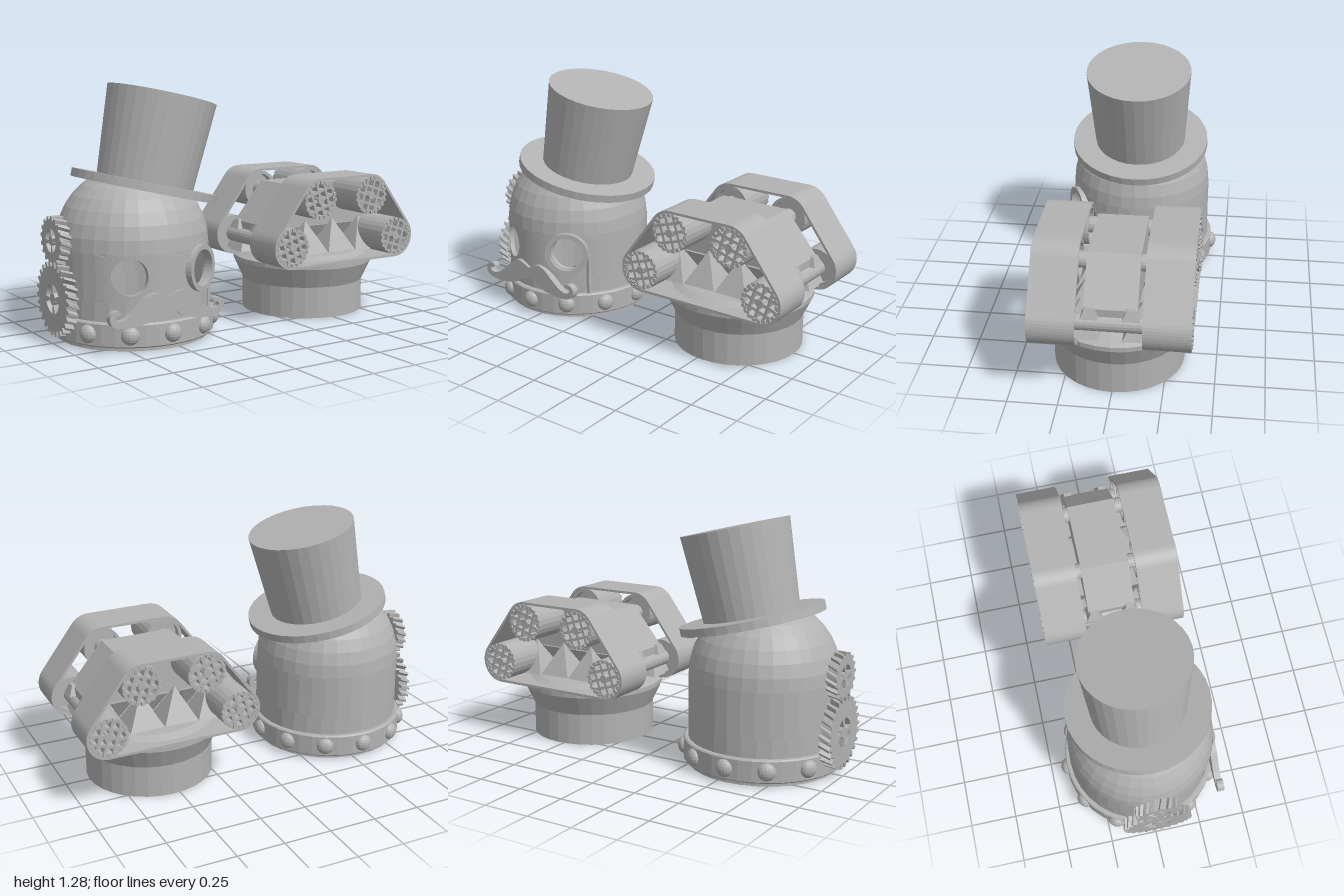
import * as THREE from 'three';

const grey = new THREE.MeshStandardMaterial({ color: 0xb2b2b2, flatShading: true, side: THREE.DoubleSide });
grey.name = 'cast grey';

function add(parent, name, geo, x = 0, y = 0, z = 0) {
  const m = new THREE.Mesh(geo, grey);
  m.name = name;
  m.position.set(x, y, z);
  parent.add(m);
  return m;
}
function group(parent, name, x = 0, y = 0, z = 0) {
  const g = new THREE.Group();
  g.name = name;
  g.position.set(x, y, z);
  parent.add(g);
  return g;
}
const pts = a => a.map(p => new THREE.Vector2(p[0], p[1]));
const extrude = (shape, depth, seg = 10, steps = 1) =>
  new THREE.ExtrudeGeometry(shape, { depth, steps, bevelEnabled: false, curveSegments: seg });
const box = (w, h, d) => new THREE.BoxGeometry(w, h, d);
const rod = (r, len, seg = 16) => new THREE.CylinderGeometry(r, r, len, seg).rotateX(Math.PI / 2);

function ringGeo(outer, inner, depth, seg = 16) {
  const s = new THREE.Shape().absarc(0, 0, outer, 0, Math.PI * 2);
  s.holes.push(new THREE.Path().absarc(0, 0, inner, 0, Math.PI * 2, true));
  return extrude(s, depth, seg);
}

// Rectangle boundary point for t in 0..1
function perimeter(t, x0, x1, y0, y1) {
  const k = (t * 4) % 4, side = Math.floor(k), f = k - side;
  if (side === 0) return [x0 + (x1 - x0) * f, y0];
  if (side === 1) return [x1, y0 + (y1 - y0) * f];
  if (side === 2) return [x1 - (x1 - x0) * f, y1];
  return [x0, y1 - (y1 - y0) * f];
}

const R = 0.39, RI = 0.365, EDGE = 0.32, Y0 = 0.24, Y1 = 0.47;

// Curved wall panel with a round eye hole, or the rim of that hole
function eyePanel(x0, x1, cx, cy, rx, ry, radius, rim) {
  const g = new THREE.PlaneGeometry(1, 1, 40, rim ? 1 : 5);
  const p = g.attributes.position, uv = g.attributes.uv;
  for (let i = 0; i < p.count; i++) {
    const v = uv.getY(i), [bx, by] = perimeter(uv.getX(i), x0, x1, Y0, Y1);
    const a = Math.atan2(by - cy, bx - cx);
    const hx = cx + rx * Math.cos(a), hy = cy + ry * Math.sin(a);
    const x = rim ? hx : hx + (bx - hx) * v, y = rim ? hy : hy + (by - hy) * v;
    const r = rim ? RI + (R - RI) * v : radius;
    p.setXYZ(i, x, y, Math.sqrt(r * r - x * x));
  }
  g.computeVertexNormals();
  return g;
}

function gearGeo(radius, teeth, hole) {
  const outline = [];
  for (let i = 0; i < teeth; i++)
    [[0, 0.86], [0.3, 0.86], [0.45, 1], [0.75, 1], [0.9, 0.86]].forEach(([f, k]) => {
      const a = (i + f) / teeth * Math.PI * 2;
      outline.push([Math.cos(a) * radius * k, Math.sin(a) * radius * k]);
    });
  const s = new THREE.Shape(pts(outline));
  for (let i = 0; i < 4; i++) {
    const a = i * Math.PI / 2 + 0.2, b = a + Math.PI / 2 - 0.4;
    s.holes.push(new THREE.Path().absarc(0, 0, hole, a, b, false).absarc(0, 0, hole * 0.4, b, a, true));
  }
  const g = extrude(s, 0.055, 5, 3), p = g.attributes.position;
  // Slanted teeth
  for (let i = 0; i < p.count; i++) {
    const a = p.getZ(i) * 0.45 / radius, x = p.getX(i), y = p.getY(i);
    p.setXY(i, x * Math.cos(a) - y * Math.sin(a), x * Math.sin(a) + y * Math.cos(a));
  }
  return g.rotateY(-Math.PI / 2);
}

function buildHead(root) {
  const head = group(root, 'head', -0.55);
  // Hollow shell: lower ring, wall around the eye panels, dome
  for (const r of [R, RI]) {
    const a = Math.asin(EDGE / r), dome = [];
    for (let i = 0; i <= 9; i++) dome.push([r * Math.cos(i / 9 * Math.PI / 2), Y1 + r * Math.sin(i / 9 * Math.PI / 2)]);
    add(head, 'lowerWall', new THREE.LatheGeometry(pts([[r, 0], [r, Y0]]), 32));
    add(head, 'sideWall', new THREE.LatheGeometry(pts([[r, Y0], [r, Y1]]), 24, a, Math.PI * 2 - 2 * a));
    add(head, 'dome', new THREE.LatheGeometry(pts(dome), 32));
  }
  add(head, 'shellRim', new THREE.RingGeometry(RI, R, 32).rotateX(Math.PI / 2));
  for (const e of [[-EDGE, 0, -0.19, 0.36, 0.078, 0.09], [0, EDGE, 0.2, 0.37, 0.082, 0.09]]) {
    add(head, 'eyePanelOuter', eyePanel(...e, R, false));
    add(head, 'eyePanelInner', eyePanel(...e, RI, false));
    add(head, 'eyeHoleRim', eyePanel(...e, R, true));
  }

  // Riveted band
  add(head, 'band', new THREE.LatheGeometry(pts([[0.385, 0.02], [0.408, 0.02], [0.415, 0.027],
    [0.415, 0.133], [0.408, 0.14], [0.385, 0.14]]), 36));
  for (let i = 0; i < 12; i++) {
    const a = i * Math.PI / 6;
    const rivet = add(head, 'rivet', new THREE.SphereGeometry(0.046, 16, 10), 0.41 * Math.sin(a), 0.082, 0.41 * Math.cos(a));
    rivet.scale.z = 0.75;
    rivet.rotation.y = a;
  }

  // Monocle with its cord
  const monocle = group(head, 'monocle', 0.2, 0.368, 0.335);
  monocle.rotation.y = 0.5;
  add(monocle, 'monocleRing', ringGeo(0.118, 0.092, 0.045), 0, 0, -0.025);
  add(head, 'monocleCord', box(0.018, 0.23, 0.02), 0.292, 0.25, 0.265);

  // Moustache with curled ends
  const half = [[0.06, 0.285], [0.11, 0.272], [0.16, 0.23], [0.21, 0.19], [0.25, 0.172], [0.28, 0.175],
    [0.288, 0.192], [0.275, 0.202], [0.255, 0.2], [0.268, 0.222], [0.3, 0.218], [0.318, 0.19],
    [0.305, 0.155], [0.265, 0.138], [0.21, 0.134], [0.15, 0.14], [0.09, 0.155], [0.04, 0.185]];
  const s = new THREE.Shape().moveTo(0, 0.258);
  s.splineThru(pts([...half, [0, 0.2]]));
  s.splineThru(pts([...half.map(([x, y]) => [-x, y]).reverse(), [0, 0.258]]));
  add(head, 'moustache', extrude(s, 0.037, 4), -0.02, 0, 0.368);

  // Side gears
  add(head, 'largeGear', gearGeo(0.188, 26, 0.075), -0.393, 0.225, 0.005);
  add(head, 'smallGear', gearGeo(0.122, 17, 0.06), -0.393, 0.515, 0.0);
  add(head, 'largeGearAxle', rod(0.03, 0.1).rotateY(Math.PI / 2), -0.385, 0.225, 0.005);
  add(head, 'smallGearAxle', rod(0.024, 0.1).rotateY(Math.PI / 2), -0.38, 0.515, 0);

  // Tilted top hat
  const hat = group(head, 'topHat', 0.075, 0.75, 0);
  hat.rotation.z = -0.232;
  add(hat, 'brim', new THREE.CylinderGeometry(0.378, 0.378, 0.042, 36));
  add(hat, 'crown', new THREE.CylinderGeometry(0.284, 0.25, 0.46, 32), 0, 0.243, 0);
}

function buildTrackedUnit(root) {
  const unit = group(root, 'trackedUnit', 0.535);
  // Hollow flared base with a centre post
  add(unit, 'base', new THREE.LatheGeometry(pts([[0, 0.2], [0.295, 0.2], [0.295, 0], [0.335, 0], [0.335, 0.168],
    [0.385, 0.275], [0.385, 0.3], [0.31, 0.335], [0, 0.345]]), 32));
  add(unit, 'basePost', new THREE.CylinderGeometry(0.15, 0.15, 0.2, 28), 0, 0.11, 0);

  // Upper jaw
  const jaw = new THREE.Shape(pts([[-0.365, 0.46], [0.365, 0.46], [0.365, 0.5], [0.19, 0.71], [-0.19, 0.71], [-0.365, 0.5]]));
  add(unit, 'upperJaw', extrude(jaw, 0.26), 0, 0, -0.13);
  const tooth = (r, h) => new THREE.ConeGeometry(r * Math.SQRT2, h, 4).rotateY(Math.PI / 4);
  for (const z of [-1, 1]) {
    for (let i = 0; i < 4; i++) add(unit, 'lowerTooth', tooth(0.095, 0.18), -0.281 + i * 0.187, 0.42, z * 0.15);
    for (let i = 0; i < 3; i++) add(unit, 'upperTooth', tooth(0.06, 0.11).rotateX(Math.PI), -0.187 + i * 0.187, 0.42, z * 0.085);
    for (const x of [-1, 1])
      add(unit, 'endTooth', new THREE.CylinderGeometry(0.03, 0.06, 0.05, 4).rotateY(Math.PI / 4), x * 0.355, 0.485, z * 0.1);
  }

  // Belts around four wheels on each side
  const centres = [[0.35, 0.418], [0.172, 0.655], [-0.172, 0.655], [-0.35, 0.418]];
  const slope = Math.atan2(0.178, 0.237);
  const angles = [-Math.PI / 2, slope, Math.PI / 2, Math.PI - slope, Math.PI * 1.5];
  const loop = (path, r) => {
    centres.forEach(([x, y], i) => path.absarc(x, y, r, angles[i], angles[i + 1], false));
    path.closePath();
    return path;
  };
  const beltShape = loop(new THREE.Shape(), 0.115);
  beltShape.holes.push(loop(new THREE.Path(), 0.102));
  for (const side of [-1, 1]) {
    const track = group(unit, side > 0 ? 'frontTrack' : 'backTrack');
    if (side < 0) track.rotation.y = Math.PI;
    add(track, 'belt', extrude(beltShape, 0.23, 8), 0, 0, 0.16);
    centres.forEach(([x, y]) => {
      const wheel = group(track, 'wheel', x, y, 0);
      wheel.rotation.z = -0.3 * Math.sign(x) * side;
      add(wheel, 'wheelRim', ringGeo(0.102, 0.084, 0.22, 12), 0, 0, 0.165);
      add(wheel, 'wheelDisc', rod(0.09, 0.14, 24), 0, 0, 0.275);
      add(wheel, 'wheelHub', rod(0.022, 0.055, 12), 0, 0, 0.365);
      for (const o of [-0.045, 0, 0.045]) {
        const len = 2 * Math.sqrt(0.092 ** 2 - o * o);
        add(wheel, 'gridBar', box(0.014, len, 0.045), o, 0, 0.365);
        add(wheel, 'gridBar', box(len, 0.014, 0.045), 0, o, 0.365);
      }
      for (let i = 0; i < 20; i++) {
        const a = i * Math.PI / 10;
        add(wheel, 'rimStud', box(0.016, 0.016, 0.02), 0.093 * Math.cos(a), 0.093 * Math.sin(a), 0.384).rotation.z = a;
      }
    });
  }
  // Axles joining the two tracks
  centres.forEach(([x, y]) => add(unit, 'axle', rod(0.042, 0.36, 18), x, y, 0));
}

export function createModel() {
  const root = new THREE.Group();
  root.name = 'model';
  buildHead(root);
  buildTrackedUnit(root);
  return root;
}
